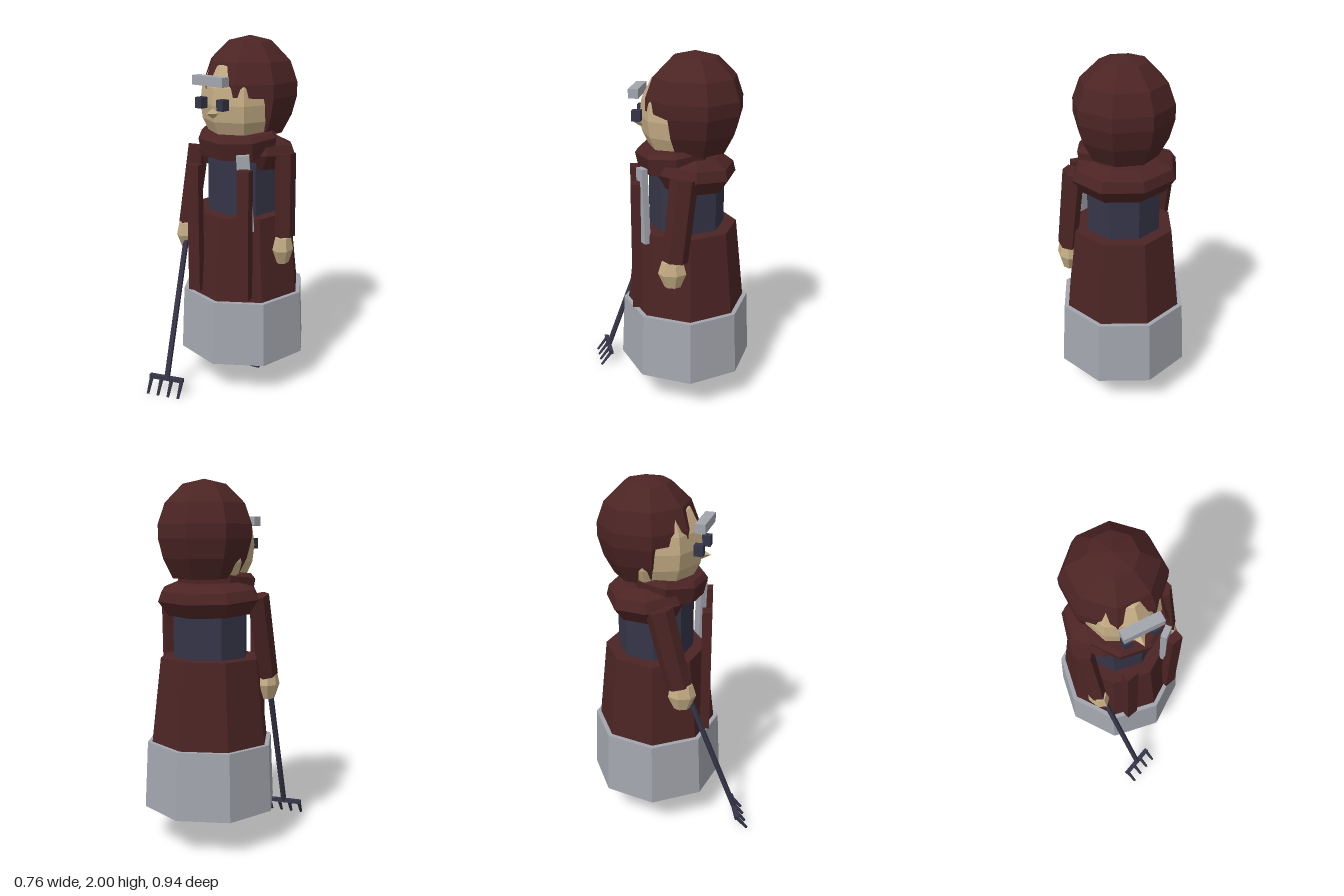
import * as THREE from 'three';

const mat = (name, color) => {
  const m = new THREE.MeshStandardMaterial({ color });
  m.name = name;
  return m;
};

export function createModel() {
  const red = mat('darkRedCloth', 0x4c2424);
  const skin = mat('skin', 0xc4ac84);
  const grey = mat('greyCloth', 0xa3a6ae);
  const navy = mat('darkNavy', 0x353548);
  const model = new THREE.Group();
  model.name = 'robedFigure';

  // Adds a mesh with faceted normals
  const add = (parent, name, geo, material, x = 0, y = 0, z = 0) => {
    const g = geo.index ? geo.toNonIndexed() : geo;
    g.computeVertexNormals();
    const m = new THREE.Mesh(g, material);
    m.name = name;
    m.position.set(x, y, z);
    parent.add(m);
    return m;
  };
  const box = (w, h, d) => new THREE.BoxGeometry(w, h, d);
  const lathe = (pts, sides = 8, start = 0) =>
    new THREE.LatheGeometry(pts.map(p => new THREE.Vector2(...p)), sides, start);
  // Tapered rod between two points
  const rod = (parent, name, a, b, r0, r1, sides, material) => {
    const A = new THREE.Vector3(...a), B = new THREE.Vector3(...b);
    const d = B.clone().sub(A);
    const m = add(parent, name, new THREE.CylinderGeometry(r1, r0, d.length(), sides), material);
    m.position.copy(A).add(B).multiplyScalar(0.5);
    m.quaternion.setFromUnitVectors(new THREE.Vector3(0, 1, 0), d.normalize());
    return m;
  };

  // Robe: hem, skirt, torso, all eight-sided
  const cz = -0.09;
  add(model, 'hem', new THREE.CylinderGeometry(0.362, 0.38, 0.37, 8), grey, 0, 0.387, cz);
  add(model, 'skirt', new THREE.CylinderGeometry(0.283, 0.337, 0.48, 8), red, 0, 0.802, cz);
  add(model, 'torso', new THREE.CylinderGeometry(0.21, 0.21, 0.36, 8), navy, 0, 1.21, cz);

  // Shoulder cowl and neck roll, tilted opposite ways
  const cowl = add(model, 'shoulderCowl', lathe([
    [0.18, -0.07], [0.2, -0.07], [0.245, 0.01], [0.225, 0.065], [0.15, 0.1], [0, 0.1],
  ]), red, 0, 1.355, -0.115);
  cowl.scale.x = 1.24;
  cowl.rotation.x = -0.1;
  const neck = add(model, 'neckRoll', lathe([
    [0, -0.06], [0.2, -0.06], [0.212, 0.035], [0.19, 0.06], [0, 0.06],
  ]), red, 0, 1.44, -0.02);
  neck.scale.x = 1.1;
  neck.rotation.x = 0.1;

  // Feet
  for (const s of [-1, 1]) add(model, 'foot', box(0.16, 0.07, 0.265), navy, s * 0.124, 0.178, -0.017);

  // Hanging scarf ends and grey strap
  for (const s of [-1, 1]) add(model, 'scarfEnd', box(0.071, 0.73, 0.052), red, s * 0.153, 0.965, 0.197);
  const strap = add(model, 'strap', box(0.07, 0.42, 0.035), grey, 0.135, 1.19, 0.155);
  strap.rotation.set(0, 0.45, 0.07);

  // Arms and hands
  const limbs = [
    { s: -1, top: [-0.272, 1.38, -0.05], end: [-0.287, 0.935, 0.055], hand: [-0.285, 0.88, 0.07] },
    { s: 1, top: [0.272, 1.38, -0.055], end: [0.3, 0.935, -0.008], hand: [0.296, 0.86, 0.005] },
  ];
  for (const { s, top, end, hand } of limbs) {
    const side = s < 0 ? 'right' : 'left';
    const g = new THREE.CylinderGeometry(0.075, 0.07, 0.46, 6);
    g.scale(0.72, 1, 1);
    const arm = add(model, side + 'Arm', g, red);
    const A = new THREE.Vector3(...top), B = new THREE.Vector3(...end);
    arm.position.copy(A).add(B).multiplyScalar(0.5);
    arm.quaternion.setFromUnitVectors(new THREE.Vector3(0, 1, 0), A.sub(B).normalize());
    const h = add(model, side + 'Hand', lathe([
      [0, -0.09], [0.045, -0.08], [0.08, 0], [0.06, 0.07], [0, 0.09],
    ], 7), skin, ...hand);
    h.scale.x = 0.68;
  }

  // Rake held in the right hand
  const rake = new THREE.Group();
  rake.name = 'rake';
  model.add(rake);
  rod(rake, 'rakeHandle', [-0.25, 0.085, 0.387], [-0.272, 0.87, 0.105], 0.016, 0.016, 6, navy);
  const bar = add(rake, 'rakeBar', box(0.208, 0.022, 0.025), navy, -0.253, 0.09, 0.385);
  bar.rotation.y = 0.17;
  for (let i = 0; i < 4; i++) {
    const x = -0.344 + i * 0.061, z = 0.4 - i * 0.0104;
    rod(rake, 'rakeTine', [x, 0.088, z], [x + 0.01, 0.006, z + 0.062], 0.012, 0.008, 4, navy);
  }

  // Head, turned a little to its right
  const head = new THREE.Group();
  head.name = 'head';
  head.position.z = cz;
  head.rotation.y = -0.23;
  model.add(head);
  const face = add(head, 'face', lathe([
    [0, 1.48], [0.215, 1.49], [0.25, 1.56], [0.262, 1.65], [0.25, 1.74], [0.195, 1.85], [0, 1.91],
  ]), skin);
  face.scale.x = 0.85;
  for (const x of [-0.077, 0.077]) add(head, 'eye', box(0.045, 0.058, 0.05), navy, x, 1.66, 0.262);
  const nose = add(head, 'nose', new THREE.ConeGeometry(0.033, 0.06, 4), skin, 0, 1.61, 0.277);
  nose.rotation.x = Math.PI / 2;
  add(head, 'brow', box(0.215, 0.05, 0.055), grey, 0, 1.781, 0.272);

  // Hood: faceted ball whose lower front is pulled in behind the face
  const hood = lathe([
    [0, 1.46], [0.185, 1.475], [0.24, 1.58], [0.268, 1.685], [0.268, 1.695],
    [0.268, 1.76], [0.228, 1.87], [0.125, 1.97], [0, 2],
  ], 8, Math.PI / 8);
  const p = hood.attributes.position;
  for (let i = 0; i < p.count; i++) {
    const x = p.getX(i), z = p.getZ(i);
    if (p.getY(i) < 1.69 && z > Math.abs(x)) {
      p.setX(i, x * 0.5);
      p.setZ(i, z * 0.5);
    }
  }
  add(head, 'hood', hood, red, 0.008, 0, -0.04);

  return model;
}
